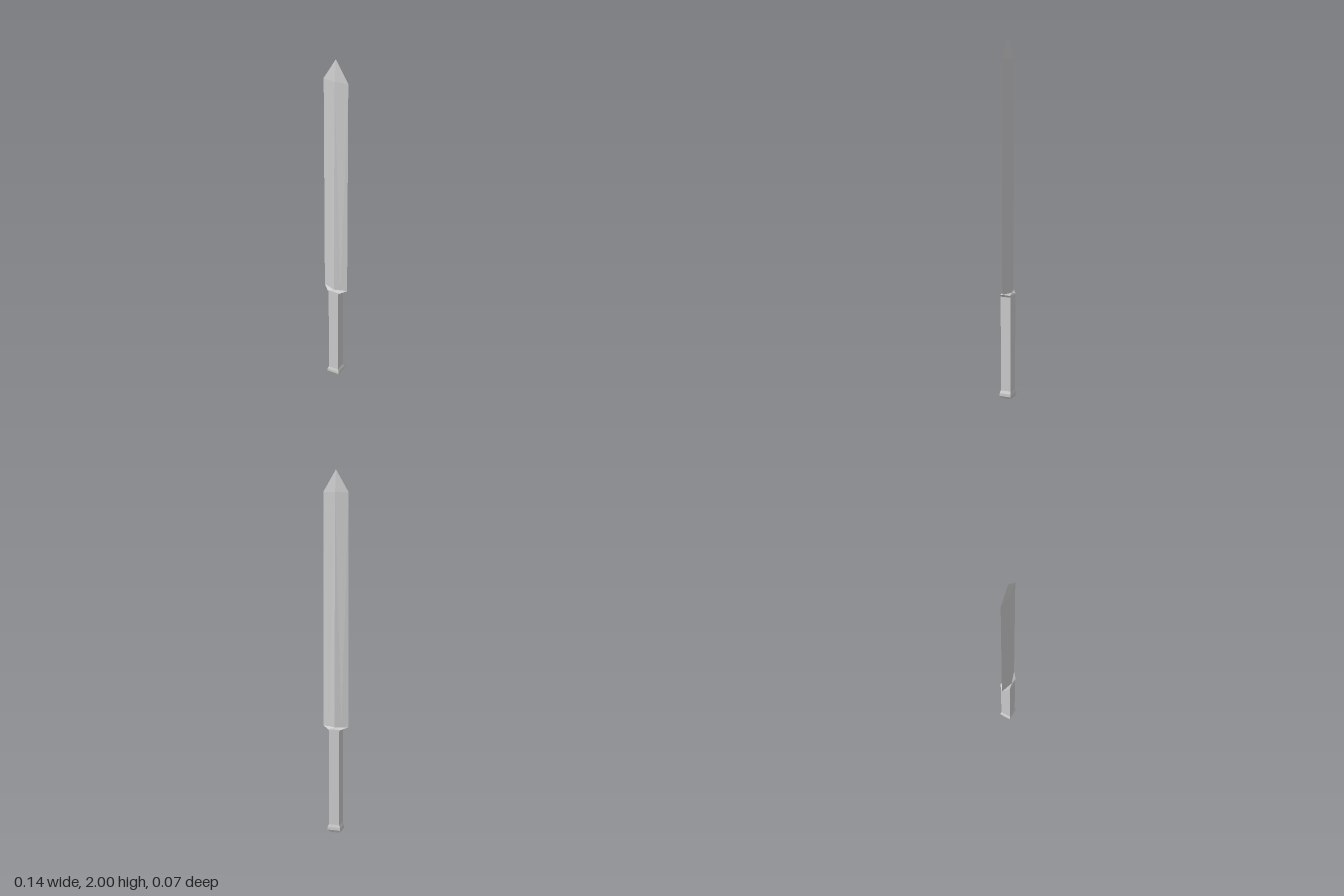
import * as THREE from 'three';

const material = new THREE.MeshStandardMaterial({ color: 0xcccccc, flatShading: true });

// Eight-point cross-sections, [x, z] running round the y axis.
function ring(w, d, cornerX, cornerZ) {
  return [[w, 0], [cornerX, cornerZ], [0, d], [-cornerX, cornerZ],
    [-w, 0], [-cornerX, -cornerZ], [0, -d], [cornerX, -cornerZ]];
}
const box = (y, w, d) => ({ y, pts: ring(w, d, w, d) });
const diamond = (y, w, d) => ({ y, pts: ring(w, d, w / 2, d / 2) });

// Skin a stack of sections from bottom to top, with optional end caps.
function loft(name, sections, capBottom = false, capTop = false) {
  const pos = [];
  const put = (s, i) => pos.push(s.pts[i % 8][0], s.y, s.pts[i % 8][1]);
  for (let k = 0; k < sections.length - 1; k++) {
    const a = sections[k], b = sections[k + 1];
    for (let i = 0; i < 8; i++) {
      const j = i + 1;
      // mirror the diagonal on alternate quads so it stays symmetric
      if (i % 2) {
        put(a, i); put(b, i); put(b, j);
        put(a, i); put(b, j); put(a, j);
      } else {
        put(a, i); put(b, i); put(a, j);
        put(a, j); put(b, i); put(b, j);
      }
    }
  }
  const cap = (s, up) => {
    for (let i = 0; i < 8; i++) {
      pos.push(0, s.y, 0);
      put(s, up ? i + 1 : i);
      put(s, up ? i : i + 1);
    }
  };
  if (capBottom) cap(sections[0], false);
  if (capTop) cap(sections[sections.length - 1], true);
  const geometry = new THREE.BufferGeometry();
  geometry.setAttribute('position', new THREE.Float32BufferAttribute(pos, 3));
  geometry.computeVertexNormals();
  const mesh = new THREE.Mesh(geometry, material);
  mesh.name = name;
  return mesh;
}

export function createModel() {
  const group = new THREE.Group();
  group.name = 'sword';

  // Flared end knob with bevelled bottom
  group.add(loft('pommel', [
    box(0, 0.028, 0.026), box(0.014, 0.037, 0.034),
    box(0.03, 0.037, 0.034), box(0.045, 0.03, 0.03),
  ], true));

  // Square grip
  group.add(loft('grip', [box(0.045, 0.03, 0.03), box(0.578, 0.03, 0.03)]));

  // Collar that spreads from the grip to the blade
  group.add(loft('collar', [
    box(0.578, 0.03, 0.03), box(0.588, 0.037, 0.03), diamond(0.6, 0.072, 0.024),
  ]));

  // Diamond-section blade, thinning towards the point
  group.add(loft('blade', [
    diamond(0.6, 0.072, 0.024), diamond(1.88, 0.072, 0.014), diamond(2, 0, 0),
  ]));

  return group;
}
